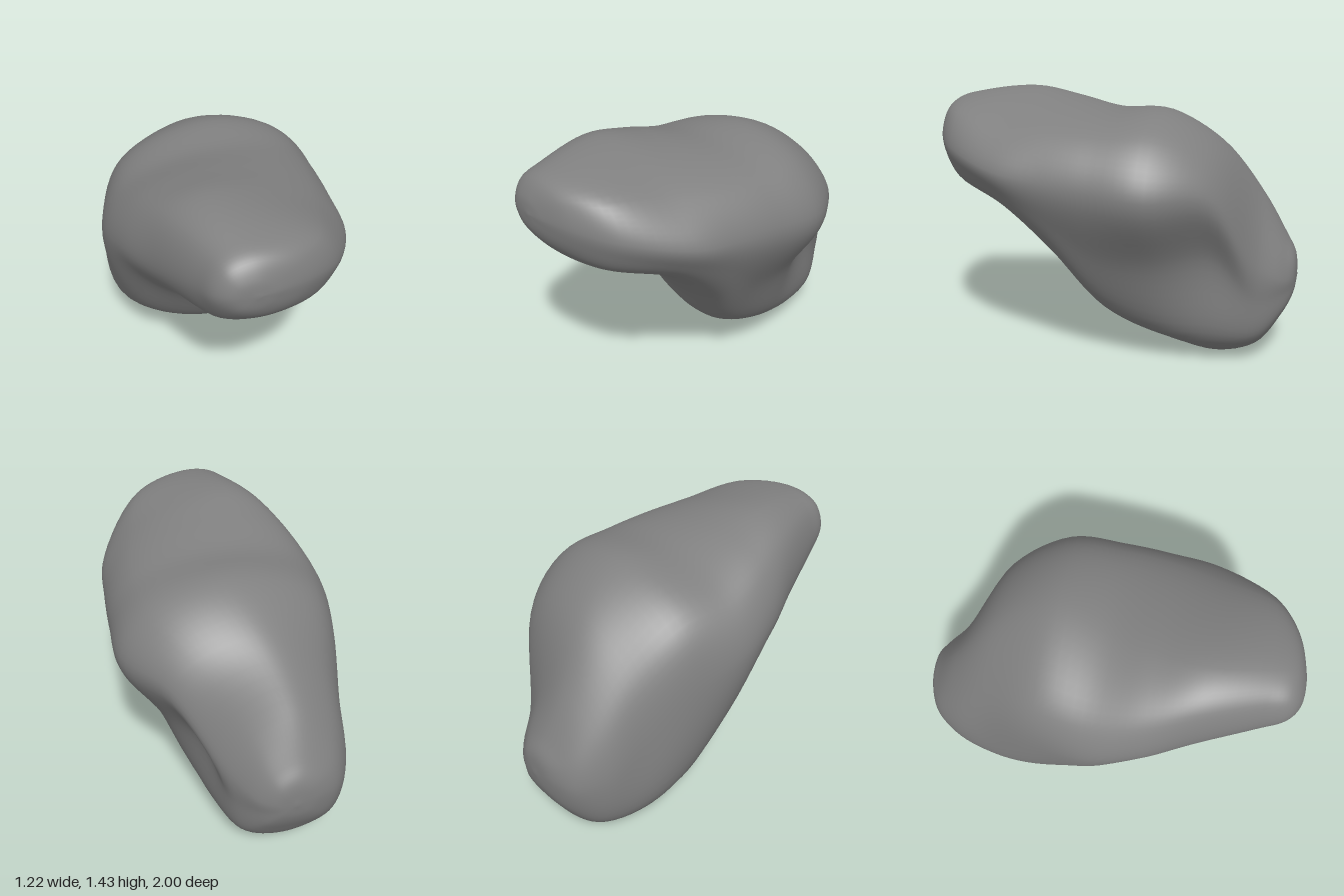
import * as THREE from 'three';
import { mergeVertices } from 'three/addons/utils/BufferGeometryUtils.js';

// Cross-sections from front to back: z, then x,y of
// top, +x side, low +x corner, bottom, low -x corner, -x side
const SECTIONS = [
  [0.985, -0.10, 1.28, 0.01, 1.20, -0.04, 1.13, -0.10, 1.11, -0.18, 1.13, -0.22, 1.20],
  [0.93, -0.10, 1.36, 0.18, 1.19, 0.08, 1.05, -0.06, 1.02, -0.21, 1.06, -0.29, 1.18],
  [0.80, -0.13, 1.40, 0.36, 1.15, 0.25, 0.97, -0.04, 0.91, -0.25, 0.96, -0.34, 1.14],
  [0.50, -0.18, 1.43, 0.53, 1.07, 0.38, 0.86, 0.02, 0.79, -0.31, 0.85, -0.45, 1.04],
  [0.25, -0.13, 1.39, 0.57, 1.04, 0.37, 0.64, 0.03, 0.56, -0.33, 0.69, -0.555, 0.99],
  [0.00, -0.06, 1.345, 0.595, 1.00, 0.25, 0.31, -0.04, 0.23, -0.41, 0.40, -0.605, 0.93],
  [-0.30, 0.02, 1.35, 0.60, 0.97, 0.22, 0.18, -0.08, 0.09, -0.47, 0.24, -0.555, 0.83],
  [-0.58, -0.05, 1.19, 0.42, 0.95, 0.19, 0.15, -0.07, 0.00, -0.455, 0.17, -0.49, 0.60],
  [-0.80, -0.13, 0.90, 0.18, 0.58, 0.12, 0.15, -0.11, 0.06, -0.38, 0.17, -0.44, 0.48],
  [-0.93, -0.13, 0.68, 0.08, 0.48, 0.04, 0.28, -0.12, 0.24, -0.29, 0.28, -0.35, 0.45],
  [-0.985, -0.11, 0.58, 0.00, 0.47, -0.03, 0.38, -0.10, 0.36, -0.19, 0.38, -0.23, 0.47],
];
// Flanks: x,y of the +x shoulder, the +x waist under its ledge, and the -x shoulder
const FLANKS = [
  [-0.03, 1.25, -0.01, 1.16, -0.19, 1.26], [0.10, 1.31, 0.15, 1.11, -0.24, 1.315],
  [0.25, 1.32, 0.33, 1.06, -0.28, 1.335], [0.34, 1.29, 0.48, 0.95, -0.385, 1.33],
  [0.41, 1.265, 0.51, 0.83, -0.45, 1.275], [0.44, 1.25, 0.44, 0.63, -0.47, 1.21],
  [0.43, 1.24, 0.40, 0.59, -0.43, 1.18], [0.28, 1.12, 0.26, 0.60, -0.37, 0.99],
  [0.06, 0.80, 0.17, 0.38, -0.34, 0.76], [0.01, 0.62, 0.07, 0.39, -0.29, 0.60],
  [-0.03, 0.55, -0.01, 0.42, -0.19, 0.55],
];
const FRONT = [-0.10, 1.20, 1], BACK = [-0.10, 0.46, -1];

// Nine control points around each section, starting at the top towards +x
function controlRing([z, ...p], row) {
  const toPoints = (list) => Array.from({ length: list.length / 2 },
    (_, i) => new THREE.Vector3(list[2 * i], list[2 * i + 1], z));
  const [top, right, lowRight, bottom, lowLeft, left] = toPoints(p);
  const [rightShoulder, waist, leftShoulder] = toPoints(FLANKS[row]);
  return [top, rightShoulder, right, waist, lowRight, bottom, lowLeft, left, leftShoulder];
}

function bodyGeometry(steps = 72, around = 72) {
  const rings = SECTIONS.map(controlRing);
  // Lengthwise curves from the front tip to the back tip
  const rails = rings[0].map((_, k) => new THREE.CatmullRomCurve3(
    [new THREE.Vector3(...FRONT), ...rings.map((r) => r[k]), new THREE.Vector3(...BACK)]));

  const positions = [], indices = [];
  for (let i = 0; i <= steps; i++) {
    const points = rails.map((rail) => rail.getPoint(i / steps));
    const tip = i === 0 || i === steps;
    const loop = new THREE.CatmullRomCurve3(points, true);
    for (let j = 0; j < around; j++) {
      const v = tip ? points[0] : loop.getPoint(j / around);
      positions.push(v.x, v.y, v.z);
    }
  }
  for (let i = 0; i < steps; i++) {
    for (let j = 0; j < around; j++) {
      const a = i * around + j, b = i * around + (j + 1) % around;
      const c = a + around, d = b + around;
      if (i > 0) indices.push(a, b, c);
      if (i < steps - 1) indices.push(b, d, c);
    }
  }
  const geometry = new THREE.BufferGeometry();
  geometry.setAttribute('position', new THREE.Float32BufferAttribute(positions, 3));
  geometry.setIndex(indices);
  // Weld the tips so the shading stays smooth
  const welded = mergeVertices(geometry);
  welded.computeVertexNormals();
  return welded;
}

export function createModel() {
  const group = new THREE.Group();
  group.name = 'boulder';
  const body = new THREE.Mesh(bodyGeometry(), new THREE.MeshStandardMaterial({ color: 0x808080 }));
  body.name = 'stoneBody';
  group.add(body);
  return group;
}
